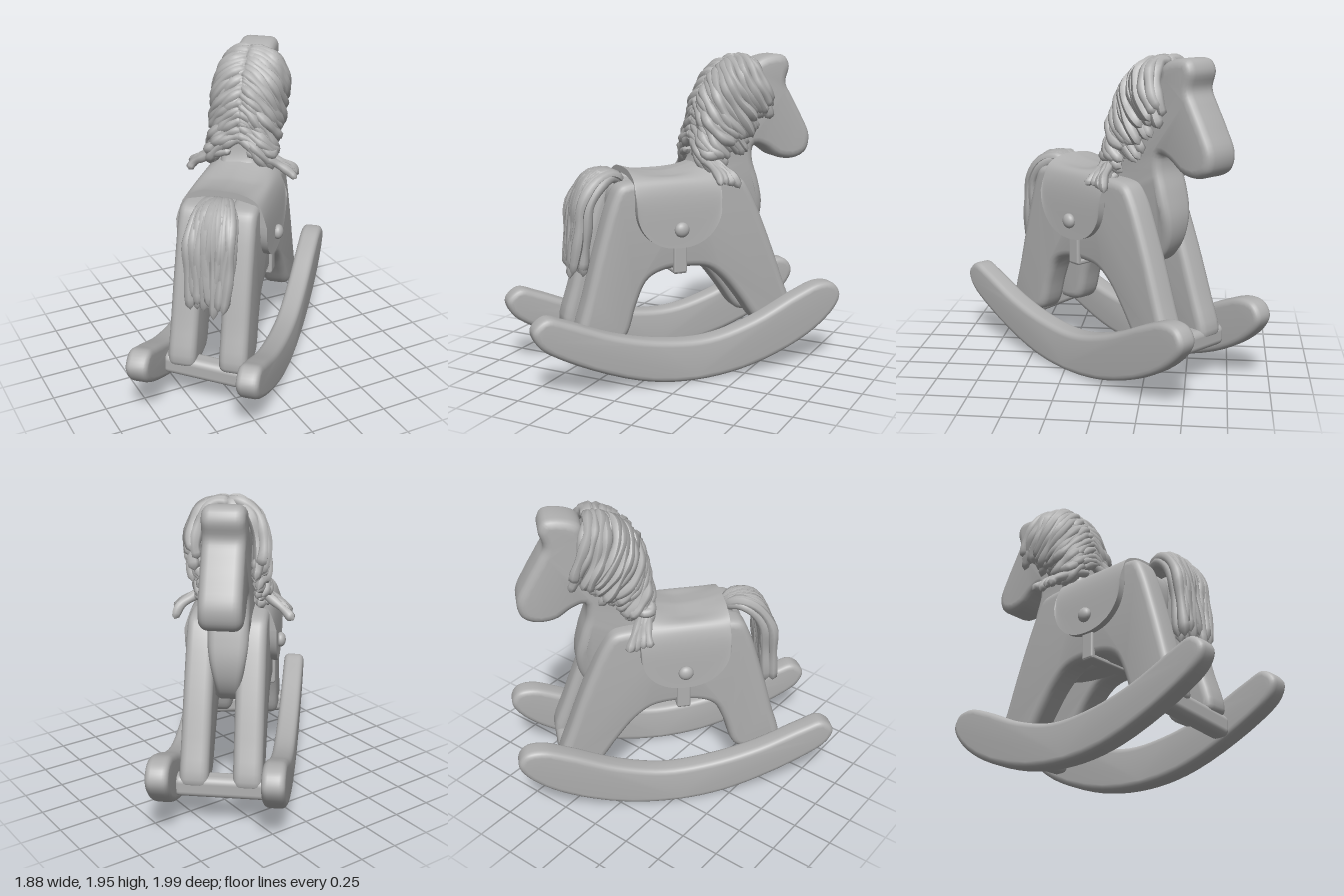
import * as THREE from 'three';
import { toCreasedNormals } from 'three/addons/utils/BufferGeometryUtils.js';
import { RoundedBoxGeometry } from 'three/addons/geometries/RoundedBoxGeometry.js';

const grey = new THREE.MeshStandardMaterial({ color: 0xb0b0b0 });
grey.name = 'plain grey';

// small seeded random in -1..1
let seed = 7;
const rnd = () => {
  seed = (seed * 16807) % 2147483647;
  return (seed / 2147483647) * 2 - 1;
};
const V = (x, y, z) => new THREE.Vector3(x, y, z);
const spline = (pts, closed = false) => new THREE.CatmullRomCurve3(pts, closed, 'centripetal');
const { smoothstep } = THREE.MathUtils;

function add(parent, name, geometry) {
  const mesh = new THREE.Mesh(geometry, grey);
  mesh.name = name;
  parent.add(mesh);
  return mesh;
}

// rounded slab cut from a closed smooth profile, centred on z = 0; zRule may reshape its width
function slab(profile, width, bevel, divisions = 90, zRule = (x, y, z) => z) {
  const loop = spline(profile.map(([x, y]) => V(x, y, 0)), true).getPoints(divisions);
  loop.pop();
  const geometry = new THREE.ExtrudeGeometry(
    new THREE.Shape(loop.map((p) => new THREE.Vector2(p.x, p.y))),
    { depth: width - 2 * bevel, bevelThickness: bevel, bevelSize: bevel, bevelOffset: -bevel, bevelSegments: 4, steps: 1 }
  );
  geometry.translate(0, 0, -(width - 2 * bevel) / 2);
  const pos = geometry.attributes.position;
  for (let i = 0; i < pos.count; i++) pos.setZ(i, zRule(pos.getX(i), pos.getY(i), pos.getZ(i)));
  return toCreasedNormals(geometry, 0.8);
}

// lumpy yarn strand with rounded ends
function strand(points, radius) {
  const curve = spline(points);
  const rings = 22, sides = 7;
  const geometry = new THREE.TubeGeometry(curve, rings, radius, sides, false);
  const pos = geometry.attributes.position;
  const phase = rnd() * 3;
  const p = new THREE.Vector3();
  for (let i = 0; i < pos.count; i++) {
    const t = Math.floor(i / (sides + 1)) / rings;
    const centre = curve.getPointAt(t);
    const cap = Math.sqrt(Math.max(0, 1 - Math.pow(Math.abs(2 * t - 1), 20)));
    p.fromBufferAttribute(pos, i).sub(centre);
    p.multiplyScalar(cap * (1 + 0.12 * Math.sin(t * 17 + phase))).add(centre);
    pos.setXYZ(i, p.x, p.y, p.z);
  }
  geometry.computeVertexNormals();
  return geometry;
}

const rockerProfile = [
  [-0.92, 0.5], [-0.8, 0.465], [-0.51, 0.35], [-0.21, 0.28], [0.09, 0.265], [0.39, 0.34],
  [0.69, 0.475], [0.85, 0.53], [0.95, 0.515], [0.995, 0.44], [0.955, 0.35], [0.77, 0.2],
  [0.39, 0.05], [0, 0.003], [-0.36, 0.05], [-0.82, 0.235], [-0.97, 0.34], [-1.0, 0.43]];

const legProfile = [
  [-0.36, 1.22], [-0.42, 1.2], [-0.465, 1.12], [-0.55, 0.85], [-0.63, 0.55], [-0.69, 0.3], [-0.65, 0.26],
  [-0.43, 0.26], [-0.38, 0.3], [-0.32, 0.48], [-0.25, 0.62], [-0.15, 0.67], [0, 0.68], [0.14, 0.66],
  [0.25, 0.58], [0.37, 0.43], [0.47, 0.29], [0.52, 0.26], [0.7, 0.27], [0.735, 0.31], [0.66, 0.55],
  [0.53, 0.9], [0.42, 1.14], [0.37, 1.2], [0.29, 1.22], [0, 1.22]];

const bodyProfile = [
  [0.49, 1.8], [0.52, 1.89], [0.59, 1.93], [0.72, 1.935], [0.757, 1.87], [0.735, 1.77], [0.775, 1.69],
  [0.85, 1.56], [0.91, 1.43], [0.89, 1.33], [0.81, 1.285], [0.69, 1.295], [0.59, 1.36], [0.52, 1.38],
  [0.51, 1.3], [0.55, 1.17], [0.585, 1.0], [0.56, 0.86], [0.48, 0.75], [0.3, 0.69], [-0.2, 0.69],
  [-0.38, 0.85], [-0.42, 1.12], [-0.36, 1.2], [0, 1.2], [0.12, 1.28], [0.17, 1.5], [0.23, 1.72], [0.33, 1.82]];

// saddle draped over the back, with a U-shaped flap on each side
function saddleGeometry() {
  const geometry = new THREE.BoxGeometry(2, 1, 2, 28, 1, 44);
  const pos = geometry.attributes.position;
  for (let i = 0; i < pos.count; i++) {
    const d = Math.sin((pos.getX(i) * Math.PI) / 2);
    const s = pos.getZ(i), a = Math.abs(s);
    const inner = pos.getY(i) < 0;
    const u = -0.06 + 0.275 * d;
    const top = 1.25 + 0.04 * d * d + 0.035 * Math.max(0, d);
    const hem = 1.08 - 0.265 * Math.pow(Math.max(0, 1 - Math.pow(Math.abs(d), 2.2)), 1 / 2.2);
    const q = spline([V(0, top, 0), V(0, top - 0.012, 0.12), V(0, 1.232, 0.215),
      V(0, 1.15, 0.256), V(0, hem, 0.278)]).getPoint(a);
    const side = smoothstep(a, 0.25, 0.65);
    if (inner) {
      q.z -= 0.04 * side;
      q.y -= 0.04 * (1 - side);
    }
    pos.setXYZ(i, u, q.y, q.z * Math.sign(s));
  }
  geometry.computeVertexNormals();
  return geometry;
}

function addMane(horse) {
  const mane = new THREE.Group();
  mane.name = 'mane';
  mane.position.z = -0.015;
  horse.add(mane);
  const crest = spline([V(0.48, 1.905, 0), V(0.37, 1.89, 0), V(0.26, 1.81, 0), V(0.17, 1.64, 0),
    V(0.14, 1.46, 0), V(0.11, 1.32, 0)]);
  const tips = spline([V(0.6, 1.57, 0), V(0.51, 1.5, 0), V(0.44, 1.43, 0), V(0.36, 1.36, 0),
    V(0.28, 1.28, 0), V(0.2, 1.23, 0)]);
  const count = 19;
  for (const side of [-1, 1]) {
    for (const layer of [0, 1]) {
      for (let i = 0; i < count; i++) {
        const t = Math.min(1, (i + layer * 0.5) / (count - 1));
        const tip = tips.getPoint(t);
        tip.y += layer * 0.06 + rnd() * 0.06;
        const out = 0.165 + layer * 0.03 + rnd() * 0.012;
        // leave the crest sweeping down the neck, then hang toward the tip;
        // the foremost strands fall straight from the poll
        const fall = smoothstep(t, 0, 0.3);
        const at = (sweep, k, v, lift) => {
          const p = crest.getPoint(t * 0.82 + sweep * fall).lerp(tip, k);
          return V(p.x + rnd() * 0.014, p.y + lift, side * v);
        };
        add(mane, 'maneStrand', strand([
          at(0, 0, -0.02, 0.005), at(0.06, 0.03, 0.06, 0.015 + layer * 0.01), at(0.12, 0.16, out - 0.04, 0.01),
          at(0.16, 0.45, out, 0), at(0.18, 0.75, out + 0.01, 0), at(0.18, 1, out - 0.005, 0)], 0.031));
      }
    }
    // loose tuft resting on the shoulder
    for (let i = 0; i < 4; i++) {
      add(mane, 'shoulderTuft', strand([
        V(0.12 + i * 0.01, 1.36, side * 0.05), V(0.14 + i * 0.015, 1.33, side * 0.15),
        V(0.17 + i * 0.02, 1.28, side * 0.24), V(0.18 + i * 0.03, 1.235, side * 0.31),
        V(0.17 + i * 0.045, 1.18 + 0.02 * rnd(), side * (0.355 + 0.02 * rnd()))], 0.027));
    }
  }
}

function addTail(horse) {
  const tail = new THREE.Group();
  tail.name = 'tail';
  tail.position.z = 0.015;
  horse.add(tail);
  for (let i = 0; i < 26; i++) {
    const w = ((i % 13) - 6) / 6;
    const outer = i < 13 ? 1 : 0;
    const back = outer * 0.05;
    const end = 0.68 + 0.06 * rnd() + 0.03 * Math.abs(w);
    add(tail, 'tailStrand', strand([
      V(-0.34, 1.2, w * 0.02), V(-0.42, 1.235 + outer * 0.02, w * 0.06),
      V(-0.5 - back * 0.6, 1.23 + outer * 0.025 - 0.03 * w * w, w * 0.1),
      V(-0.58 - back, 1.09, w * 0.125 + rnd() * 0.01), V(-0.6 - back, 0.92, w * 0.12 + rnd() * 0.015),
      V(-0.62 - back + rnd() * 0.02, end, w * 0.1 + rnd() * 0.02)], 0.031));
  }
}

export function createModel() {
  const model = new THREE.Group();
  model.name = 'rockingHorse';
  const horse = new THREE.Group();
  horse.name = 'horse';
  horse.rotation.y = 0.847; // stands diagonally, nose toward +x and -z
  model.add(horse);

  // head, neck and body in one; the breast narrows toward its foot
  const breast = (x, y, z) => z * (1 - 0.4 * smoothstep(x, 0.3, 0.5) * (1 - smoothstep(y, 0.75, 1.15)));
  add(horse, 'headNeckAndBody', slab(bodyProfile, 0.24, 0.05, 130, breast)).position.z = -0.022;

  for (const side of [-1, 1]) {
    add(horse, 'rocker', slab(rockerProfile, 0.135, 0.035)).position.z = side * 0.325;

    // leg panel, slightly splayed toward the floor
    add(horse, 'legPanel', slab(legProfile, 0.172, 0.045, 110,
      (x, y, z) => z + side * (0.148 + (1.2 - y) * 0.01)));

    // button and girth strap below the flap
    const button = add(horse, 'saddleButton', new THREE.SphereGeometry(0.046, 20, 14));
    button.scale.z = 0.7;
    button.position.set(-0.055, 0.93, side * 0.285);
    add(horse, 'girthStrap', new RoundedBoxGeometry(0.085, 0.2, 0.035, 3, 0.012))
      .position.set(-0.05, 0.755, side * 0.24);
  }
  add(horse, 'girthUnderBelly', new RoundedBoxGeometry(0.085, 0.03, 0.51, 3, 0.012)).position.set(-0.05, 0.665, 0);

  // cross bars joining the rockers
  for (const [x, y, tilt] of [[-0.62, 0.245, 0.09], [0.67, 0.275, 0]]) {
    const bar = add(horse, 'crossBar', new RoundedBoxGeometry(0.12, 0.13, 0.56, 4, 0.04));
    bar.position.set(x, y, 0);
    bar.rotation.x = tilt;
  }

  add(horse, 'saddle', saddleGeometry());
  addMane(horse);
  addTail(horse);
  return model;
}
